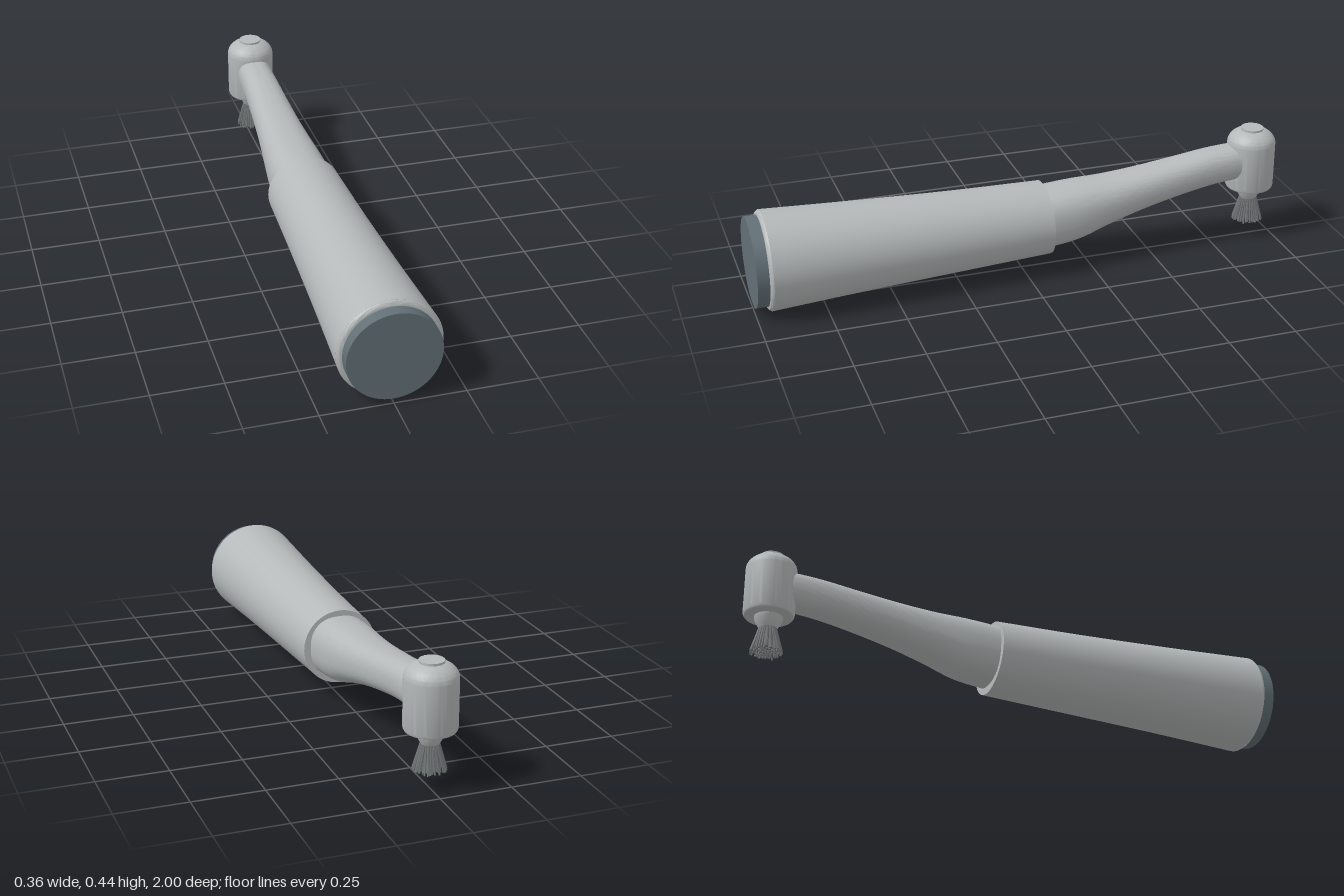
import * as THREE from 'three';
import { toCreasedNormals } from 'three/addons/utils/BufferGeometryUtils.js';

const SIDES = 64;

// Loft rounded sections [z, centreY, halfWidth, halfHeight, tilt], ordered front to back
function loft(sections, power, rows) {
  const curve = (f) => new THREE.CatmullRomCurve3(sections.map(f), false, 'catmullrom', 0.5);
  const place = curve((s) => new THREE.Vector3(s[0], s[1], s[4] || 0));
  const size = curve((s) => new THREE.Vector3(s[2], s[3], 0));
  const pos = [], index = [];
  const round = (v) => Math.sign(v) * Math.abs(v) ** (2 / power);
  for (let i = 0; i <= rows; i++) {
    const p = place.getPoint(i / rows), r = size.getPoint(i / rows);
    for (let j = 0; j < SIDES; j++) {
      const a = (j / SIDES) * Math.PI * 2;
      const y = round(Math.sin(a)) * r.y;
      pos.push(round(Math.cos(a)) * r.x, p.y + y, p.x + y * p.z);
    }
  }
  for (let i = 0; i < rows; i++) {
    for (let j = 0; j < SIDES; j++) {
      const k = (j + 1) % SIDES;
      const a = i * SIDES + j, b = i * SIDES + k;
      index.push(a, a + SIDES, b, b, a + SIDES, b + SIDES);
    }
  }
  // Flat end faces
  for (const [row, s] of [[0, sections[0]], [rows, sections[sections.length - 1]]]) {
    const centre = pos.length / 3;
    pos.push(0, s[1], s[0]);
    for (let j = 0; j < SIDES; j++) {
      const a = row * SIDES + j, b = row * SIDES + ((j + 1) % SIDES);
      index.push(centre, row ? b : a, row ? a : b);
    }
  }
  const g = new THREE.BufferGeometry();
  g.setAttribute('position', new THREE.Float32BufferAttribute(pos, 3));
  g.setIndex(index);
  return toCreasedNormals(g, 0.7);
}

const lathe = (points) =>
  toCreasedNormals(new THREE.LatheGeometry(points.map(([r, y]) => new THREE.Vector2(r, y)), SIDES), 0.6);

export function createModel() {
  const model = new THREE.Group();
  const material = (name, color) => {
    const m = new THREE.MeshStandardMaterial({ color });
    m.name = name;
    return m;
  };
  const metal = material('satin metal', 0xb5b9b9);
  const slate = material('slate cap', 0x627076);
  const bristleGrey = material('bristle grey', 0x727677);
  const add = (name, geometry, mat, parent = model) => {
    const mesh = new THREE.Mesh(geometry, mat);
    mesh.name = name;
    parent.add(mesh);
    return mesh;
  };

  // Tapered grip, with a rounded front rim and an end cap
  add('handle', loft([
    [0.945, 0.183, 0.181, 0.181],
    [0.6, 0.186, 0.163, 0.163],
    [0.25, 0.189, 0.148, 0.148],
    [-0.087, 0.195, 0.137, 0.136, 0.04],
  ], 2, 30), metal);
  add('handleRim', loft([
    [0.957, 0.183, 0.164, 0.164],
    [0.954, 0.183, 0.175, 0.175],
    [0.944, 0.183, 0.181, 0.181],
  ], 2, 6), metal);
  add('endCap', loft([
    [1.0, 0.183, 0.163, 0.163],
    [0.94, 0.183, 0.163, 0.163],
  ], 2, 1), slate);

  // Curved neck rising to the head
  add('neck', loft([
    [-0.06, 0.196, 0.113, 0.112, 0.03],
    [-0.2, 0.211, 0.108, 0.108],
    [-0.32, 0.233, 0.097, 0.09],
    [-0.45, 0.258, 0.085, 0.077],
    [-0.6, 0.285, 0.075, 0.07],
    [-0.74, 0.307, 0.068, 0.068],
    [-0.87, 0.317, 0.064, 0.067],
  ], 2.4, 48), metal);

  // Upright head with a domed top and press button
  const head = new THREE.Group();
  head.name = 'head';
  head.position.z = -0.91;
  model.add(head);
  const dome = [];
  for (let i = 0; i <= 10; i++) {
    const a = (i / 10) * 1.08;
    dome.push([0.09 * Math.cos(a), 0.384 + 0.058 * Math.sin(a)]);
  }
  add('headBody', lathe([
    [0, 0.203], [0.078, 0.203], [0.085, 0.206], [0.089, 0.213], [0.09, 0.22], ...dome, [0, 0.435],
  ]), metal, head);
  add('pressButton', lathe([[0, 0.43], [0.042, 0.43], [0.042, 0.443], [0, 0.443]]), metal, head);
  add('chuck', lathe([
    [0, 0.158], [0.031, 0.158], [0.035, 0.166], [0.048, 0.19], [0.05, 0.206], [0, 0.206],
  ]), metal, head);

  // Flared brush made of rings of thin bristles
  const brush = new THREE.Group();
  brush.name = 'brush';
  head.add(brush);
  let seed = 7;
  const rand = () => (seed = (seed * 16807) % 2147483647) / 2147483647;
  const up = new THREE.Vector3(0, 1, 0);
  for (let ring = 0; ring <= 5; ring++) {
    const count = ring ? ring * 8 : 1;
    for (let i = 0; i < count; i++) {
      const a = ((i + rand() * 0.5) / count) * Math.PI * 2 + ring;
      const b = a + (rand() - 0.5) * 0.25;
      const f = ring / 5;
      const top = new THREE.Vector3(Math.cos(a) * 0.029 * f, 0.164, Math.sin(a) * 0.029 * f);
      const spread = 0.055 * f;
      const tip = new THREE.Vector3(Math.cos(b) * spread, 0.064 + rand() * 0.008, Math.sin(b) * spread);
      const along = top.clone().sub(tip);
      const bristle = add('bristle', new THREE.CylinderGeometry(0.0028, 0.0032, along.length(), 5), bristleGrey, brush);
      bristle.position.copy(top).add(tip).multiplyScalar(0.5);
      bristle.quaternion.setFromUnitVectors(up, along.normalize());
    }
  }
  return model;
}
